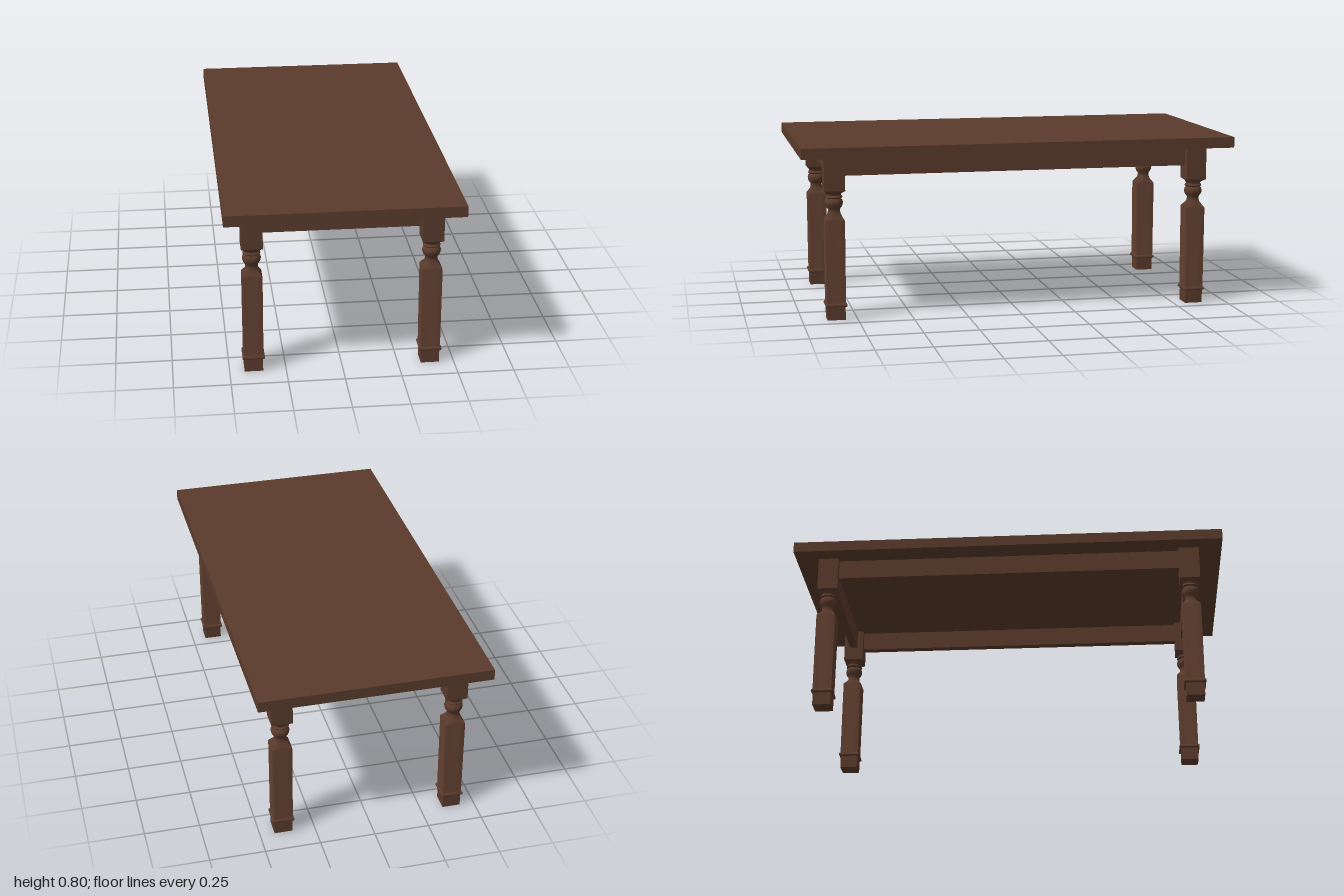
import * as THREE from 'three';
import { toCreasedNormals } from 'three/addons/utils/BufferGeometryUtils.js';

const SEG = 32;

// Leg sections from the floor up: [height, half width, squareness (0 round, 1 square)]
const LEG = [
  [0, 0.041, 1], [0.06, 0.041, 1],
  [0.061, 0.046, 1], [0.065, 0.049, 1], [0.071, 0.049, 1], [0.076, 0.046, 1], [0.078, 0.043, 1],
  [0.455, 0.044, 1],
  [0.468, 0.037, 0.75], [0.48, 0.031, 0.35], [0.492, 0.028, 0], [0.502, 0.027, 0],
  [0.509, 0.03, 0], [0.516, 0.036, 0], [0.526, 0.04, 0], [0.536, 0.041, 0], [0.546, 0.038, 0], [0.553, 0.032, 0],
  [0.555, 0.036, 0], [0.559, 0.039, 0], [0.564, 0.037, 0], [0.567, 0.033, 0],
  [0.573, 0.034, 0], [0.579, 0.037, 0.4], [0.59, 0.047, 1],
  [0.746, 0.047, 1],
];

// Skin that joins square and round sections, capped at both ends
function loft(sections) {
  const pos = [], idx = [];
  for (const [y, r, q] of sections) {
    for (let i = 0; i < SEG; i++) {
      const a = (i / SEG) * Math.PI * 2;
      const c = Math.cos(a), s = Math.sin(a);
      const k = r * (1 - q + q / Math.max(Math.abs(c), Math.abs(s)));
      pos.push(c * k, y, s * k);
    }
  }
  for (let j = 0; j < sections.length - 1; j++) {
    for (let i = 0; i < SEG; i++) {
      const a = j * SEG + i, b = j * SEG + (i + 1) % SEG;
      idx.push(a, a + SEG, b, b, a + SEG, b + SEG);
    }
  }
  const last = (sections.length - 1) * SEG;
  for (let i = 1; i < SEG - 1; i++) {
    idx.push(0, i, i + 1);
    idx.push(last, last + i + 1, last + i);
  }
  const g = new THREE.BufferGeometry();
  g.setAttribute('position', new THREE.Float32BufferAttribute(pos, 3));
  g.setIndex(idx);
  return toCreasedNormals(g, 0.6);
}

export function createModel() {
  const group = new THREE.Group();
  group.name = 'diningTable';
  const wood = new THREE.MeshStandardMaterial({ color: 0x5a3b2c });
  wood.name = 'darkWood';

  const add = (name, geometry, x, y, z) => {
    const mesh = new THREE.Mesh(geometry, wood);
    mesh.name = name;
    mesh.position.set(x, y, z);
    group.add(mesh);
  };

  // Table top
  add('tableTop', new THREE.BoxGeometry(1.036, 0.049, 2), 0, 0.7705, 0);

  // Four turned legs
  const legX = 0.393, legZ = 0.846;
  const leg = loft(LEG);
  for (const [end, sz] of [['front', 1], ['back', -1]]) {
    for (const [side, sx] of [['Left', 1], ['Right', -1]]) {
      add(`${end}${side}Leg`, leg, sx * legX, 0, sz * legZ);
    }
  }

  // Aprons running between the leg blocks
  const endApron = new THREE.BoxGeometry(0.72, 0.091, 0.036);
  const sideApron = new THREE.BoxGeometry(0.036, 0.091, 1.63);
  for (const s of [1, -1]) {
    add(s > 0 ? 'frontApron' : 'backApron', endApron, 0, 0.7005, s * legZ);
    add(s > 0 ? 'leftApron' : 'rightApron', sideApron, s * legX, 0.7005, 0);
  }
  return group;
}
